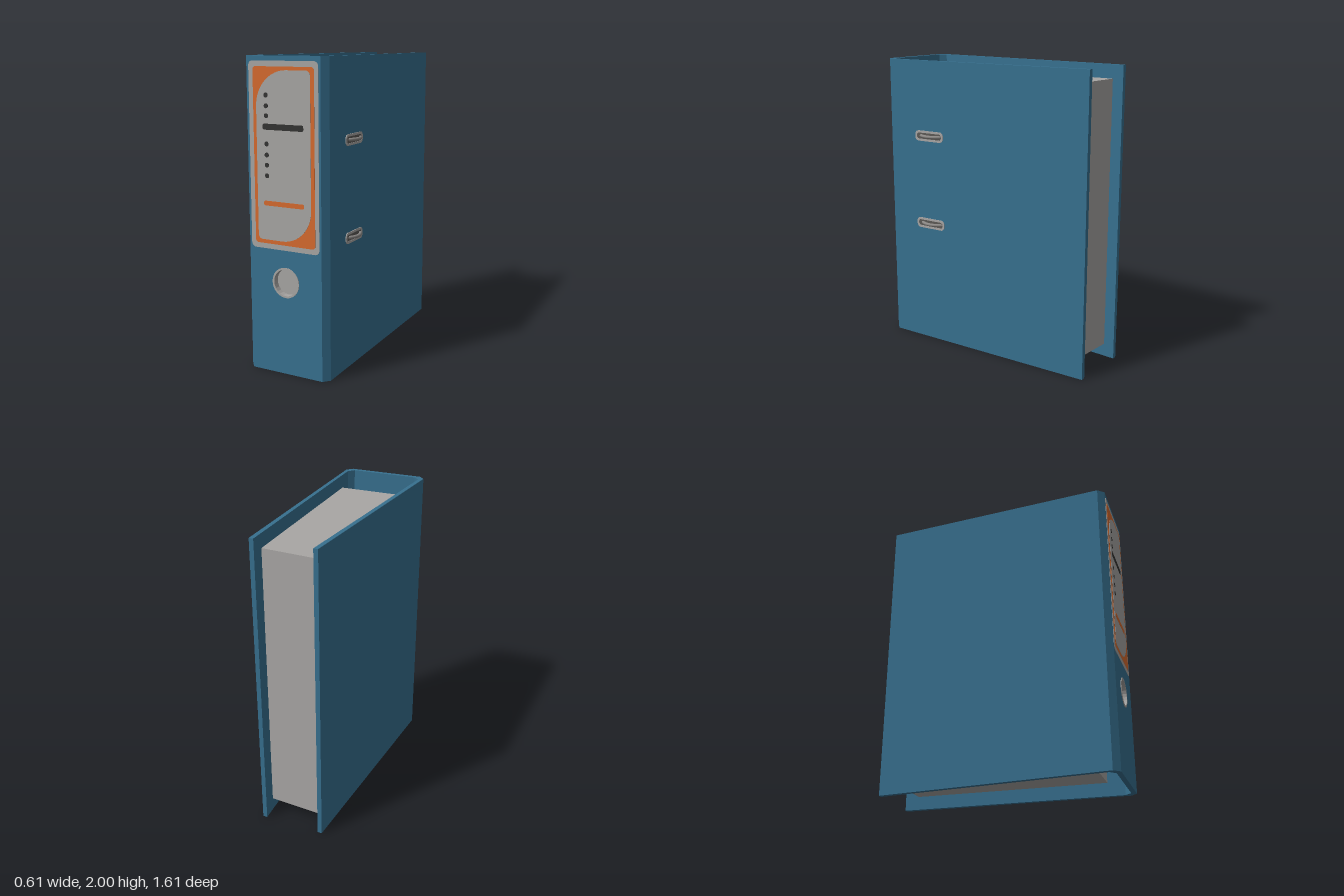
import * as THREE from 'three';

const mat = (name, color) => {
  const m = new THREE.MeshStandardMaterial({ color });
  m.name = name;
  return m;
};

export function createModel() {
  const blue = mat('cover blue', 0x37708f);
  const grey = mat('paper grey', 0xa8a6a4);
  const orange = mat('label orange', 0xd66b2f);
  const dark = mat('print black', 0x343432);
  const metal = mat('ring metal', 0x8a8784);
  const slotGrey = mat('slot shadow grey', 0x5c5956);

  const root = new THREE.Group();
  root.name = 'leverArchBinder';

  const add = (name, geometry, material, parent = root) => {
    const mesh = new THREE.Mesh(geometry, material);
    mesh.name = name;
    parent.add(mesh);
    return mesh;
  };
  const extrude = (shape, depth) =>
    new THREE.ExtrudeGeometry(shape, { depth, bevelEnabled: false, curveSegments: 12 });

  // Upright prism from a floor plan given as [x, z] points
  const prism = (plan, y0, y1) => {
    const shape = new THREE.Shape(plan.map(([x, z]) => new THREE.Vector2(x, -z)));
    return extrude(shape, y1 - y0).rotateX(-Math.PI / 2).translate(0, y0, 0);
  };

  // Rectangle with a separate radius for each corner: bottom left, bottom right, top right, top left
  const roundRect = (x0, y0, x1, y1, [bl, br, tr, tl], Type = THREE.Shape) => {
    const s = new Type();
    s.moveTo(x0 + bl, y0);
    s.lineTo(x1 - br, y0);
    s.absarc(x1 - br, y0 + br, br, -Math.PI / 2, 0, false);
    s.lineTo(x1, y1 - tr);
    s.absarc(x1 - tr, y1 - tr, tr, 0, Math.PI / 2, false);
    s.lineTo(x0 + tl, y1);
    s.absarc(x0 + tl, y1 - tl, tl, Math.PI / 2, Math.PI, false);
    s.lineTo(x0, y0 + bl);
    s.absarc(x0 + bl, y0 + bl, bl, Math.PI, Math.PI * 1.5, false);
    return s;
  };
  const circle = (x, y, r, Type = THREE.Shape) => {
    const s = new Type();
    s.absarc(x, y, r, 0, Math.PI * 2, false);
    return s;
  };

  // Cover boards, each with its chamfered corner at the spine
  add('leftBoard', prism([[0.207, -0.8], [0.283, 0.757], [0.247, 0.8], [0.22, 0.8],
    [0.22, 0.767], [0.256, 0.725], [0.177, -0.8]], 0, 2), blue);
  add('rightBoard', prism([[-0.233, -0.8], [-0.309, 0.757], [-0.27, 0.8], [-0.241, 0.8],
    [-0.241, 0.767], [-0.279, 0.73], [-0.203, -0.8]], 0, 2), blue);

  // Spine with a finger hole through it
  const hole = { x: -0.013, y: 0.603, r: 0.087 };
  const spine = roundRect(-0.241, 0, 0.22, 2, [0, 0, 0, 0]);
  spine.holes.push(circle(hole.x, hole.y, hole.r, THREE.Path));
  add('spine', extrude(spine, 0.033).translate(0, 0, 0.767), blue);

  // Rim lining the finger hole
  const rim = circle(hole.x, hole.y, 0.098);
  rim.holes.push(circle(hole.x, hole.y, hole.r - 0.002, THREE.Path));
  add('fingerHoleRim', extrude(rim, 0.04).translate(0, 0, 0.764), grey);

  // Stack of paper
  add('paperBlock', prism([[-0.204, -0.725], [-0.272, 0.61], [0.248, 0.61],
    [0.181, -0.705]], 0.09, 1.91), grey);

  // Spine label, in thin stacked layers
  const label = new THREE.Group();
  label.name = 'spineLabel';
  root.add(label);
  const plate = (name, shape, layer, material) =>
    add(name, extrude(shape, 0.002).translate(0, 0, 0.8 + layer * 0.002), material, label);
  plate('labelPaper', roundRect(-0.262, 0.81, 0.233, 1.97, [0.03, 0.03, 0.03, 0.03]), 0, grey);
  plate('labelFrame', roundRect(-0.23, 0.843, 0.205, 1.936, [0.02, 0.02, 0.02, 0.02]), 1, orange);
  plate('labelField', roundRect(-0.207, 0.868, 0.179, 1.915, [0.03, 0.21, 0.03, 0.22]), 2, grey);
  const bar = (y0, y1) => roundRect(-0.16, y0, 0.13, y1, [0.01, 0.01, 0.01, 0.01]);
  plate('darkBar', bar(1.555, 1.592), 3, dark);
  plate('orangeBar', bar(1.085, 1.115), 3, orange);
  for (const y of [1.765, 1.7, 1.64, 1.468, 1.4, 1.337, 1.272]) {
    plate('labelDot', circle(-0.135, y, 0.015), 3, dark);
  }

  // Ring slots in the left board: framed opening with the ring bulging out
  const arc = 1.75;
  for (const y of [1.485, 0.863]) {
    const slot = new THREE.Group();
    slot.name = 'ringSlot';
    slot.position.set(0.267, y, 0.43);
    slot.rotation.y = Math.PI / 2 + 0.049;
    root.add(slot);
    const frame = roundRect(-0.12, -0.036, 0.12, 0.036, [0.03, 0.03, 0.03, 0.03]);
    frame.holes.push(roundRect(-0.105, -0.021, 0.105, 0.021,
      [0.018, 0.018, 0.018, 0.018], THREE.Path));
    add('slotFrame', extrude(frame, 0.005), grey, slot);
    add('slotOpening', extrude(roundRect(-0.108, -0.024, 0.108, 0.024,
      [0.02, 0.02, 0.02, 0.02]), 0.002), slotGrey, slot);
    const ring = new THREE.TorusGeometry(0.13, 0.011, 10, 20, arc)
      .rotateZ(-arc / 2).rotateX(Math.PI / 2);
    add('ring', ring, metal).position.set(0.164, y, 0.425);
  }
  return root;
}
